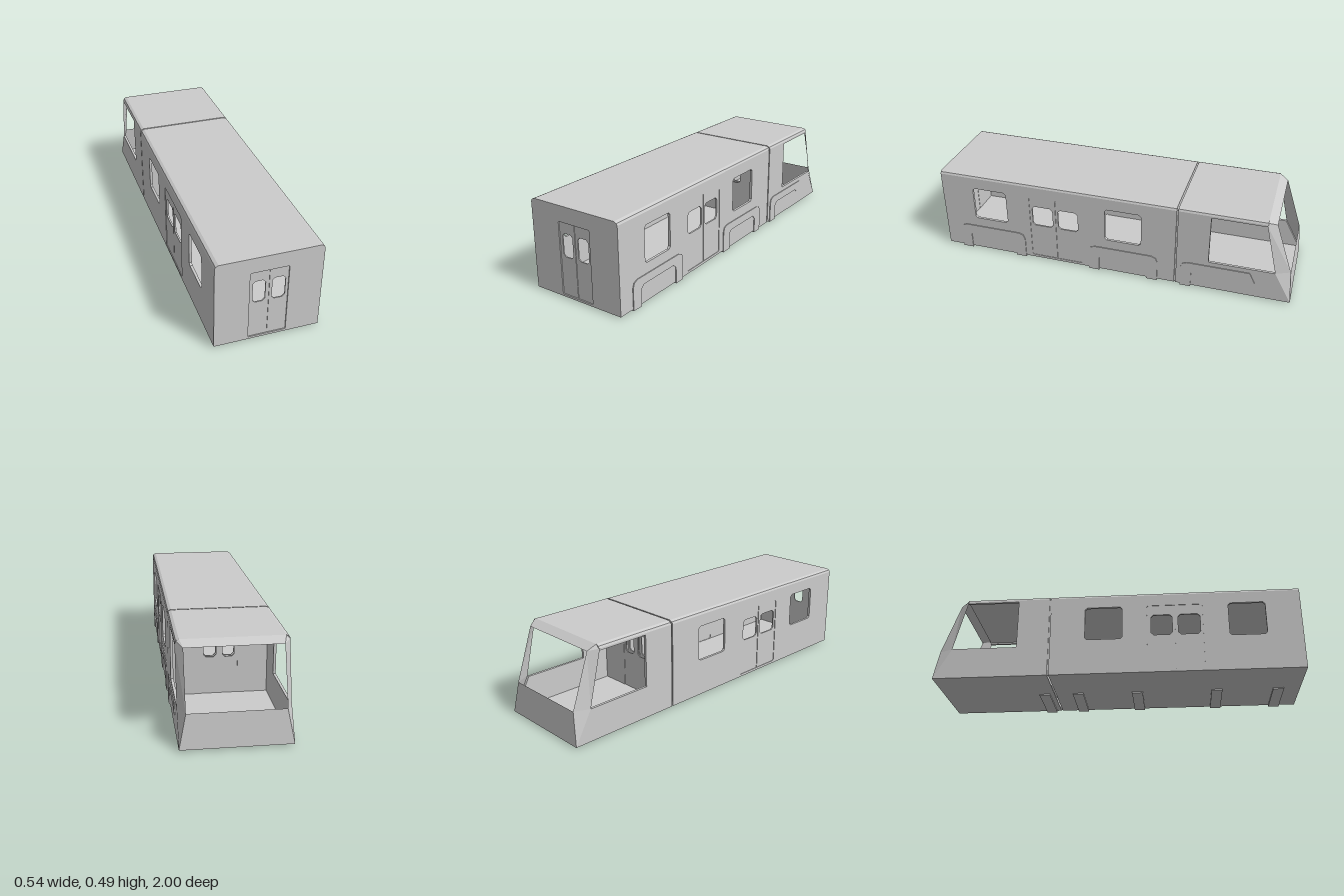
import * as THREE from 'three';

const W = 0.27, T = 0.014, BASE = 0.008, EAVE = 0.47, TOP = 0.488;
const GAP_A = -0.367, GAP_B = -0.375; // joint between saloon and cab
const mat = new THREE.MeshStandardMaterial({ color: 0xcccccc, flatShading: true, side: THREE.DoubleSide });

const poly = (pts) => new THREE.Shape(pts.map(([x, y]) => new THREE.Vector2(x, y)));

// Rectangle with cut corners
const rect = (x0, y0, x1, y1, c = 0) => poly(c
  ? [[x0 + c, y0], [x1 - c, y0], [x1, y0 + c], [x1, y1 - c], [x1 - c, y1], [x0 + c, y1], [x0, y1 - c], [x0, y0 + c]]
  : [[x0, y0], [x1, y0], [x1, y1], [x0, y1]]);

function add(parent, name, geo) {
  const m = new THREE.Mesh(geo, mat);
  m.name = name;
  parent.add(m);
  return m;
}

function extrude(shape, depth, holes = []) {
  shape.holes.push(...holes);
  return new THREE.ExtrudeGeometry(shape, { depth, bevelEnabled: false });
}

// Plate in the side plane: shape x runs along -z, extruded towards +x from x0
const sidePlate = (shape, x0, depth, holes) =>
  extrude(shape, depth, holes).rotateY(Math.PI / 2).translate(x0, 0, 0);

const box = (x0, x1, y0, y1, z0, z1) =>
  new THREE.BoxGeometry(x1 - x0, y1 - y0, z1 - z0).translate((x0 + x1) / 2, (y0 + y1) / 2, (z0 + z1) / 2);

// Flat faces from corner lists, fanned into triangles
function faces(list) {
  const v = [];
  for (const f of list)
    for (let i = 1; i < f.length - 1; i++) v.push(...f[0], ...f[i], ...f[i + 1]);
  const g = new THREE.BufferGeometry();
  g.setAttribute('position', new THREE.Float32BufferAttribute(v, 3));
  g.computeVertexNormals();
  return g;
}

// End wall with a two-leaf door, each leaf with a window
function endWall(parent, name, z, facing) {
  const g = new THREE.Group();
  g.name = name;
  const outline = poly([[-W, BASE], [W, BASE], [W, EAVE], [W - 0.005, 0.481], [W - 0.02, TOP],
    [-W + 0.02, TOP], [-W + 0.005, 0.481], [-W, EAVE]]);
  add(g, 'endPanel', extrude(outline, T, [rect(-0.097, 0.012, 0.097, 0.405, 0.004)]).translate(0, 0, -T));
  for (const s of [-1, 1]) {
    const a = s < 0 ? -0.097 : 0.002, b = s < 0 ? -0.002 : 0.097;
    const w0 = s < 0 ? -0.08 : 0.017, w1 = s < 0 ? -0.017 : 0.083;
    add(g, 'endDoorLeaf', extrude(rect(a, 0.012, b, 0.405), 0.006, [rect(w0, 0.225, w1, 0.348, 0.013)])
      .translate(0, 0, -0.012));
  }
  add(g, 'endDoorSeam', box(-0.003, 0.003, 0.012, 0.405, -0.012, -0.009));
  g.position.z = z;
  g.scale.z = facing;
  parent.add(g);
}

// Roof shell with eased edges
function roof(parent, name, z0, z1) {
  const half = [[W, EAVE], [W - 0.005, 0.481], [W - 0.02, TOP]];
  const inner = [[W - 0.026, TOP - T], [W - T, EAVE]];
  const mir = (p) => [-p[0], p[1]];
  const shape = poly([...half, ...half.map(mir).reverse(), ...inner.map(mir).reverse(), ...inner]);
  add(parent, name, extrude(shape, z1 - z0).translate(0, 0, z0));
}

function saloon(body) {
  roof(body, 'saloonRoof', GAP_A, 1);
  add(body, 'saloonFloor', box(-W, W, BASE, 0.02, GAP_A, 1));
  for (const s of [-1, 1]) {
    const x0 = s > 0 ? W - T : -W;
    add(body, 'saloonSide', sidePlate(rect(-1, BASE, -GAP_A, EAVE), x0, T, [
      rect(-0.81, 0.21, -0.61, 0.405, 0.012),
      rect(-0.03, 0.21, 0.175, 0.405, 0.012),
      rect(-0.47, 0.022, -0.165, 0.405, 0.008),
    ]));
    // Sliding door leaves, slightly recessed
    const xd = s > 0 ? W - 0.012 : -W + 0.003;
    for (const [a, b, w0, w1] of [[-0.47, -0.318, -0.455, -0.335], [-0.314, -0.165, -0.303, -0.187]])
      add(body, 'sideDoorLeaf', sidePlate(rect(a, 0.022, b, 0.405), xd, 0.009, [rect(w0, 0.227, w1, 0.348, 0.014)]));
    const xs = s * (W - 0.009);
    add(body, 'sideDoorSeam', box(xs - 0.002, xs + 0.002, 0.022, 0.405, 0.313, 0.319));
    // Recessed strip closing the joint
    const xj = s * (W - 0.01);
    add(body, 'jointStrip', box(xj - 0.003, xj + 0.003, BASE, EAVE, GAP_B, GAP_A));
  }
  endWall(body, 'rearWall', 1, 1);
  endWall(body, 'saloonBulkhead', GAP_A, -1);
}

function cab(body) {
  roof(body, 'cabRoof', -0.84, GAP_B);
  add(body, 'cabFloor', box(-W, W, BASE, 0.02, -0.99, GAP_B));
  endWall(body, 'cabBulkhead', GAP_B, 1);
  for (const s of [-1, 1]) {
    const side = poly([[-GAP_B, BASE], [1, BASE], [0.905, 0.18], [0.55, 0.18], [0.55, 0.46],
      [0.838, 0.46], [0.835, EAVE], [-GAP_B, EAVE]]);
    add(body, 'cabSide', sidePlate(side, s > 0 ? W - T : -W, T));
    // Angled windscreen pillar running down to a point
    const p = (x, y, z) => [s * x, y, z];
    const foot = p(W, BASE, -1), sill = p(0.235, 0.18, -0.982), head = p(0.235, 0.46, -0.885);
    const sideSill = p(W, 0.18, -0.905), sideHead = p(W, EAVE, -0.835);
    const list = [[foot, sill, sideSill], [sill, head, sideHead, sideSill],
      [head, p(W - 0.02, TOP, -0.84), p(W - 0.005, 0.481, -0.838), sideHead]];
    if (s < 0) list.forEach((f) => f.reverse());
    add(body, 'windscreenPillar', faces(list));
  }
  add(body, 'nosePanel', faces([
    [[W, BASE, -1], [-W, BASE, -1], [-0.235, 0.18, -0.982], [0.235, 0.18, -0.982]],
    [[W, BASE, -1], [W, BASE, -0.985], [-W, BASE, -0.985], [-W, BASE, -1]],
  ]));
  add(body, 'windscreenHeader', faces([
    [[0.235, 0.46, -0.885], [-0.235, 0.46, -0.885], [-W + 0.02, TOP, -0.84], [W - 0.02, TOP, -0.84]],
  ]));
}

// Raised arch trims on one side, with feet plates under the floor
function arches(body) {
  const H = 0.155, L = 0.06, B = 0.045, c = 0.035, x0 = W - 0.002, d = 0.0065;
  for (const [a, b] of [[-0.91, -0.51], [-0.125, 0.27]]) {
    add(body, 'archTrim', sidePlate(poly([
      [a, 0], [a, H - c], [a + 0.01, H - 0.01], [a + c, H], [b - c, H], [b - 0.01, H - 0.01], [b, H - c], [b, 0],
      [b - L, 0], [b - L, H - B - 0.02], [b - L - 0.02, H - B],
      [a + L + 0.02, H - B], [a + L, H - B - 0.02], [a + L, 0],
    ]), x0, d));
  }
  add(body, 'cabArchTrim', sidePlate(poly([
    [0.4, 0], [0.4, H - c], [0.41, H - 0.01], [0.4 + c, H], [0.775, H], [0.805, 0.095],
    [0.74, 0.095], [0.72, H - B], [0.48, H - B], [0.46, H - B - 0.02], [0.46, 0],
  ]), x0, d));
  for (const z of [0.88, 0.54, 0.095, -0.24, -0.43])
    add(body, 'archFoot', box(0, W + 0.004, 0, BASE + 0.002, z - 0.03, z + 0.03));
}

export function createModel() {
  const model = new THREE.Group();
  model.name = 'railCar';
  const body = new THREE.Group();
  body.name = 'body';
  saloon(body);
  cab(body);
  arches(body);
  body.position.x = -0.0025;
  model.add(body);
  return model;
}
